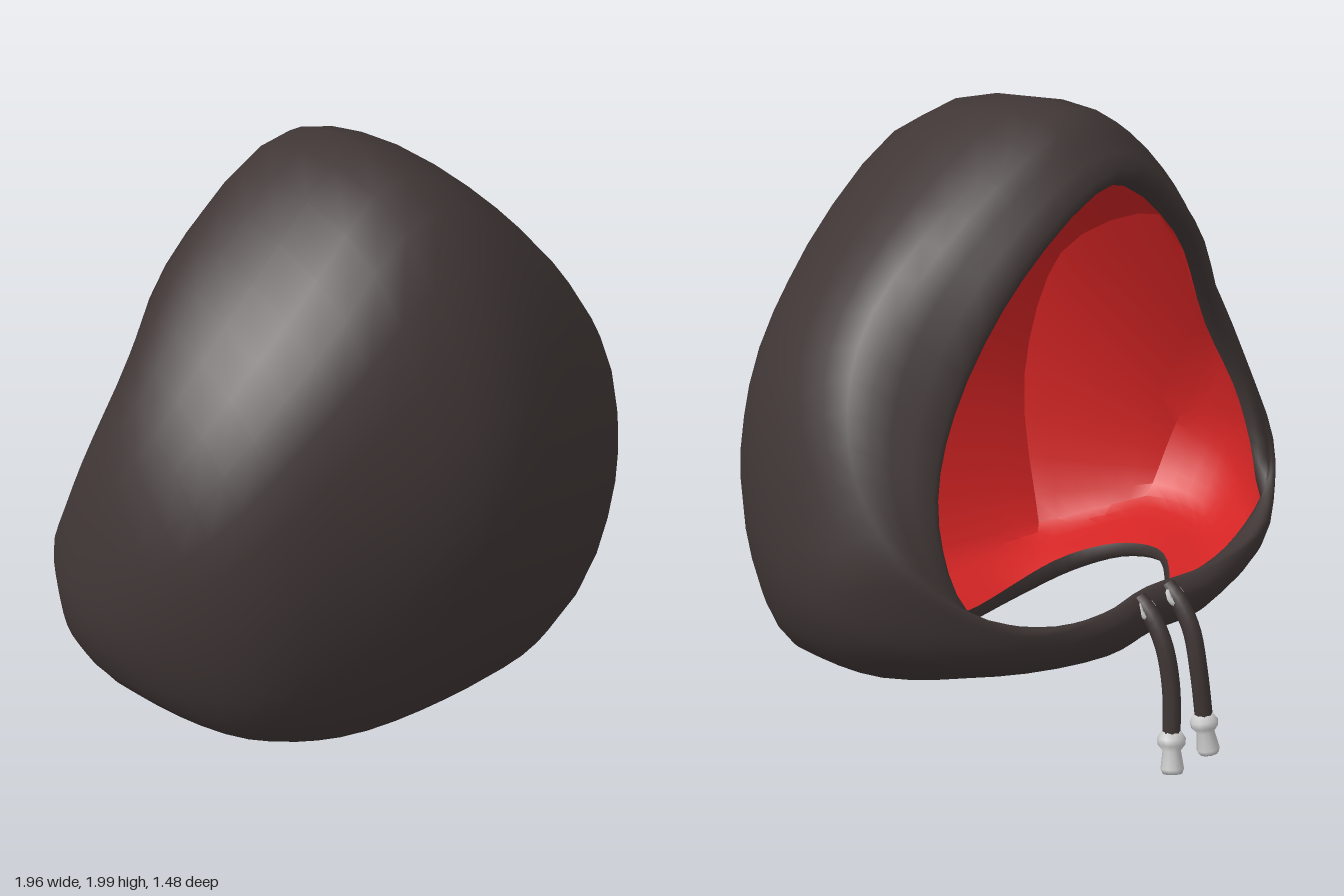
import * as THREE from 'three';
import { toCreasedNormals } from 'three/addons/utils/BufferGeometryUtils.js';

const V = (x, y, z) => new THREE.Vector3(x, y, z);
const fabric = new THREE.MeshStandardMaterial({ color: 0x3f3635 });
const red = new THREE.MeshStandardMaterial({ color: 0xd42424 });
const metal = new THREE.MeshStandardMaterial({ color: 0xcccccc });

// Meridians of the left half, each running from the face opening to the neck opening
const crown = [V(0, 1.82, -0.395), V(0, 1.975, -0.21), V(0, 1.88, 0.4), V(0, 1.15, 0.74), V(0, 0.34, 0.54), V(0, 0.175, 0.27)];
const upper = [V(0.41, 1.59, -0.36), V(0.46, 1.745, -0.14), V(0.48, 1.55, 0.43), V(0.45, 0.97, 0.625), V(0.41, 0.32, 0.47), V(0.28, 0.205, 0.25)];
const temple = [V(0.65, 1.22, -0.31), V(0.78, 1.39, -0.08), V(0.82, 1.17, 0.31), V(0.76, 0.78, 0.45), V(0.67, 0.35, 0.34), V(0.46, 0.27, 0.16)];
const cheek = [V(0.77, 0.93, -0.36), V(0.9, 1.06, -0.18), V(0.965, 0.87, 0.0), V(0.95, 0.65, 0.1), V(0.83, 0.42, 0.11), V(0.55, 0.33, 0.02)];
const jaw = [V(0.73, 0.68, -0.44), V(0.85, 0.77, -0.38), V(0.95, 0.73, -0.22), V(0.93, 0.57, -0.19), V(0.8, 0.41, -0.17), V(0.53, 0.37, -0.16)];
const lowerJaw = [V(0.48, 0.56, -0.5), V(0.59, 0.59, -0.54), V(0.67, 0.54, -0.5), V(0.64, 0.46, -0.46), V(0.53, 0.39, -0.39), V(0.38, 0.375, -0.32)];
const chinSide = [V(0.22, 0.52, -0.52), V(0.26, 0.55, -0.57), V(0.27, 0.51, -0.6), V(0.26, 0.44, -0.58), V(0.22, 0.39, -0.54), V(0.18, 0.39, -0.44)];
const chin = [V(0, 0.51, -0.48), V(0, 0.545, -0.53), V(0, 0.51, -0.565), V(0, 0.45, -0.57), V(0, 0.4, -0.54), V(0, 0.39, -0.47)];

const half = [crown, upper, temple, cheek, jaw, lowerJaw, chinSide, chin];
const mirrored = half.slice(1, -1).reverse().map(m => m.map(p => V(-p.x, p.y, p.z)));
const meridians = [...half, ...mirrored];
const AROUND = 56, ALONG = 20;

// Smooth grid of points: rows go from face to neck, columns go around
function sampleShell() {
  const curves = meridians.map(m => new THREE.CatmullRomCurve3(m));
  const rows = [];
  for (let i = 0; i <= ALONG; i++) {
    const loop = new THREE.CatmullRomCurve3(curves.map(c => c.getPoint(i / ALONG)), true);
    rows.push(Array.from({ length: AROUND }, (_, j) => loop.getPoint(j / AROUND)));
  }
  return rows;
}

// Surface through closed rows of points
function skin(rows, inward = false) {
  const index = [];
  for (let i = 0; i < rows.length - 1; i++) {
    for (let j = 0; j < AROUND; j++) {
      const k = (j + 1) % AROUND;
      const a = i * AROUND + j, b = i * AROUND + k, c = a + AROUND, d = b + AROUND;
      if (inward) index.push(a, b, c, b, d, c);
      else index.push(a, c, b, b, c, d);
    }
  }
  const geometry = new THREE.BufferGeometry().setFromPoints(rows.flat());
  geometry.setIndex(index);
  geometry.computeVertexNormals();
  return geometry;
}

// Lining points, offset inwards and thinner towards the chin
function offsetRows(rows) {
  const normals = skin(rows).getAttribute('normal');
  return rows.map((row, i) => row.map((p, j) => {
    const n = new THREE.Vector3().fromBufferAttribute(normals, i * AROUND + j);
    const nearChin = (1 - Math.cos(2 * Math.PI * j / AROUND)) / 2;
    return p.clone().addScaledVector(n, -(0.075 - 0.05 * nearChin));
  }));
}

// Lining drawn into four broad panels at the back and sides, easing out at the hems
function panelRows(rows) {
  const width = 6;
  return rows.map((row, i) => row.map((p, j) => {
    const s = j <= AROUND / 2 ? j : j - AROUND;
    if (Math.abs(s) >= 2 * width) return p;
    const start = Math.floor(s / width) * width;
    const from = row[(start + AROUND) % AROUND], to = row[(start + width + AROUND) % AROUND];
    const flat = from.clone().lerp(to, (s - start) / width);
    return p.clone().lerp(flat, Math.min(1, i / 4, (ALONG - i) / 4));
  }));
}

// Rounded lip between an outer edge and the lining
function lip(edge, next, inner) {
  return edge.map((p, j) => {
    const outward = p.clone().sub(next[j]).normalize();
    return p.clone().lerp(inner[j], 0.5).addScaledVector(outward, 0.02);
  });
}

function add(parent, name, geometry, material) {
  const mesh = new THREE.Mesh(geometry, material);
  mesh.name = name;
  parent.add(mesh);
  return mesh;
}

function drawstring(side) {
  const group = new THREE.Group();
  group.name = side > 0 ? 'leftDrawstring' : 'rightDrawstring';
  const x = side * 0.07;
  const tipX = side > 0 ? 0.085 : -0.08;

  // Hanging cord
  const path = new THREE.CatmullRomCurve3([
    V(x, 0.53, -0.54), V(x, 0.49, -0.59), V(x, 0.41, -0.64), V(x, 0.28, -0.672), V(tipX, 0.12, -0.69),
  ]);
  add(group, 'cord', new THREE.TubeGeometry(path, 16, 0.028, 8), fabric);

  // Eyelet in the hem
  const eyelet = add(group, 'eyelet', new THREE.TorusGeometry(0.03, 0.009, 6, 12), metal);
  eyelet.position.set(x, 0.505, -0.575);
  eyelet.lookAt(x, 0.9, -1.1);

  // Knobbed metal end
  const profile = [[0, -0.1], [0.03, -0.1], [0.036, -0.085], [0.028, -0.03], [0.042, -0.012],
    [0.044, 0.008], [0.03, 0.03], [0, 0.032]].map(([r, y]) => new THREE.Vector2(r, y));
  const tip = add(group, 'cordEnd', new THREE.LatheGeometry(profile, 10), metal);
  tip.position.set(tipX, 0.11, -0.69);
  tip.rotation.set(0.22, 0, side > 0 ? 0.2 : 0);
  return group;
}

export function createModel() {
  const model = new THREE.Group();
  model.name = 'hood';

  const outer = sampleShell();
  const inner = offsetRows(outer);
  const n = ALONG;

  // Outer fabric with both hems rolled inwards
  const shell = [inner[0], lip(outer[0], outer[1], inner[0]), ...outer,
    lip(outer[n], outer[n - 1], inner[n]), inner[n]];
  add(model, 'hoodShell', skin(shell), fabric);
  add(model, 'lining', toCreasedNormals(skin(panelRows(inner), true), 0.4), red);

  for (const side of [-1, 1]) model.add(drawstring(side));
  return model;
}
